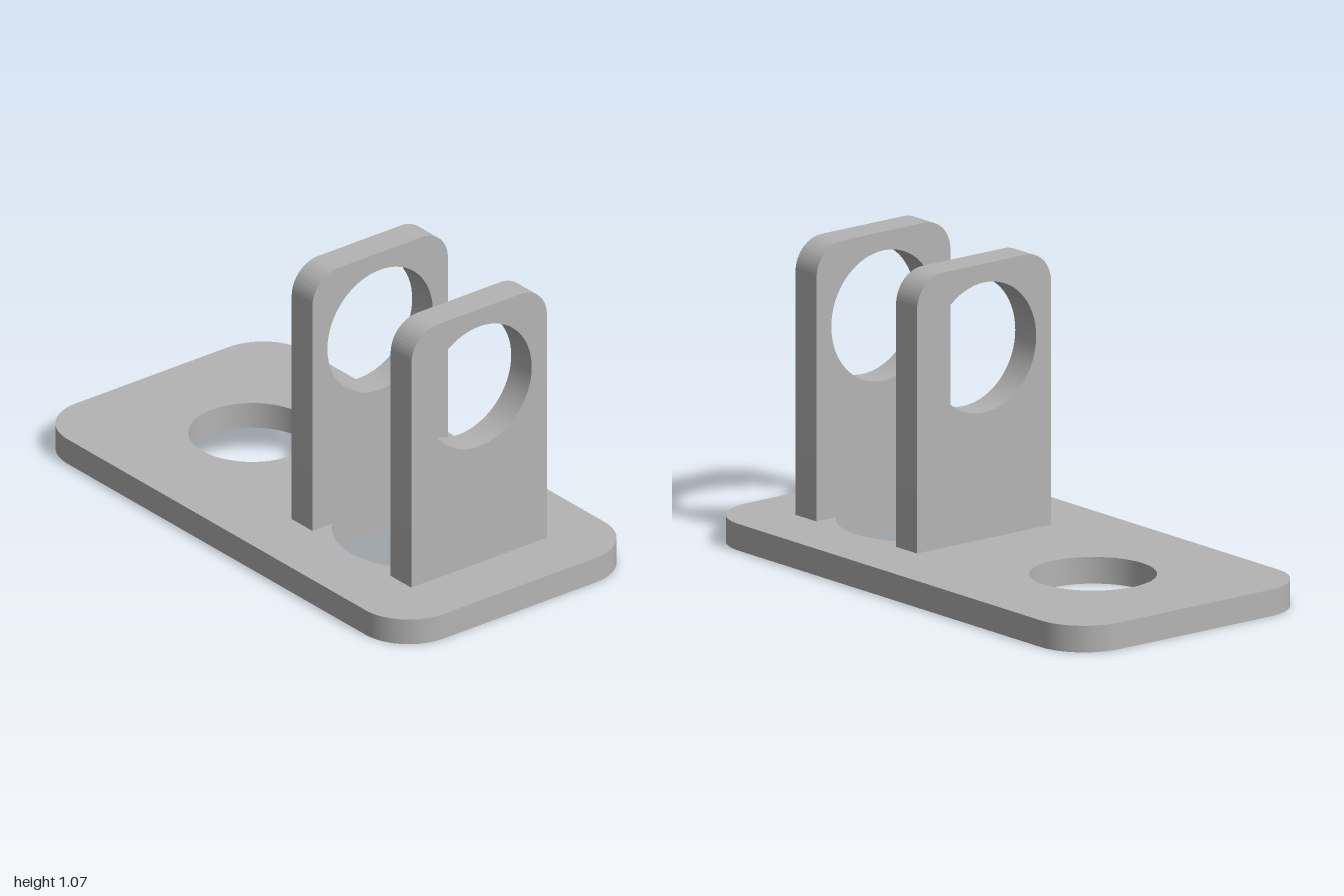
import * as THREE from 'three';
import { toCreasedNormals } from 'three/addons/utils/BufferGeometryUtils.js';

const BASE_H = 0.094;
const INNER = [0.24, 0.667]; // facing sides of the two uprights

// Outline with rounded corners; bottom corners may have their own radius
function roundedRect(x0, y0, x1, y1, r, rBottom = r) {
  const s = new THREE.Shape();
  s.moveTo(x0 + rBottom, y0);
  s.lineTo(x1 - rBottom, y0);
  if (rBottom) s.absarc(x1 - rBottom, y0 + rBottom, rBottom, -Math.PI / 2, 0, false);
  s.lineTo(x1, y1 - r);
  s.absarc(x1 - r, y1 - r, r, 0, Math.PI / 2, false);
  s.lineTo(x0 + r, y1);
  s.absarc(x0 + r, y1 - r, r, Math.PI / 2, Math.PI, false);
  s.lineTo(x0, y0 + rBottom);
  if (rBottom) s.absarc(x0 + rBottom, y0 + rBottom, rBottom, Math.PI, Math.PI * 1.5, false);
  return s;
}

function circleHole(x, y, r) {
  return new THREE.Path().absarc(x, y, r, 0, Math.PI * 2, true);
}

function extrude(shape, depth) {
  const g = new THREE.ExtrudeGeometry(shape, { depth, bevelEnabled: false, curveSegments: 32 });
  return toCreasedNormals(g, 0.5);
}

export function createModel() {
  const group = new THREE.Group();
  const grey = new THREE.MeshStandardMaterial({ color: 0xb4b4b4 });
  grey.name = 'plainGrey';

  // Base plate with a round hole and a round hole cut flat by the uprights
  const baseShape = roundedRect(-1, -0.522, 1, 0.522, 0.19);
  const cx = (INNER[0] + INNER[1]) / 2, r = 0.297;
  const a = Math.acos((INNER[1] - cx) / r);
  const slot = new THREE.Path();
  slot.absarc(cx, 0, r, Math.PI - a, a, true);
  slot.absarc(cx, 0, r, -a, -Math.PI + a, true);
  slot.closePath();
  baseShape.holes.push(circleHole(-0.456, 0, 0.218), slot);
  const base = new THREE.Mesh(extrude(baseShape, BASE_H).rotateX(-Math.PI / 2), grey);
  base.name = 'basePlate';
  group.add(base);

  // Two uprights with large round eyes
  const lugShape = roundedRect(-0.296, BASE_H, 0.296, 1.066, 0.115, 0);
  lugShape.holes.push(circleHole(0, 0.77, 0.23));
  const lugGeo = extrude(lugShape, 0.112).rotateY(Math.PI / 2);
  [['innerUpright', INNER[0] - 0.112], ['outerUpright', INNER[1]]].forEach(([name, x]) => {
    const lug = new THREE.Mesh(lugGeo, grey);
    lug.name = name;
    lug.position.x = x;
    group.add(lug);
  });

  return group;
}
